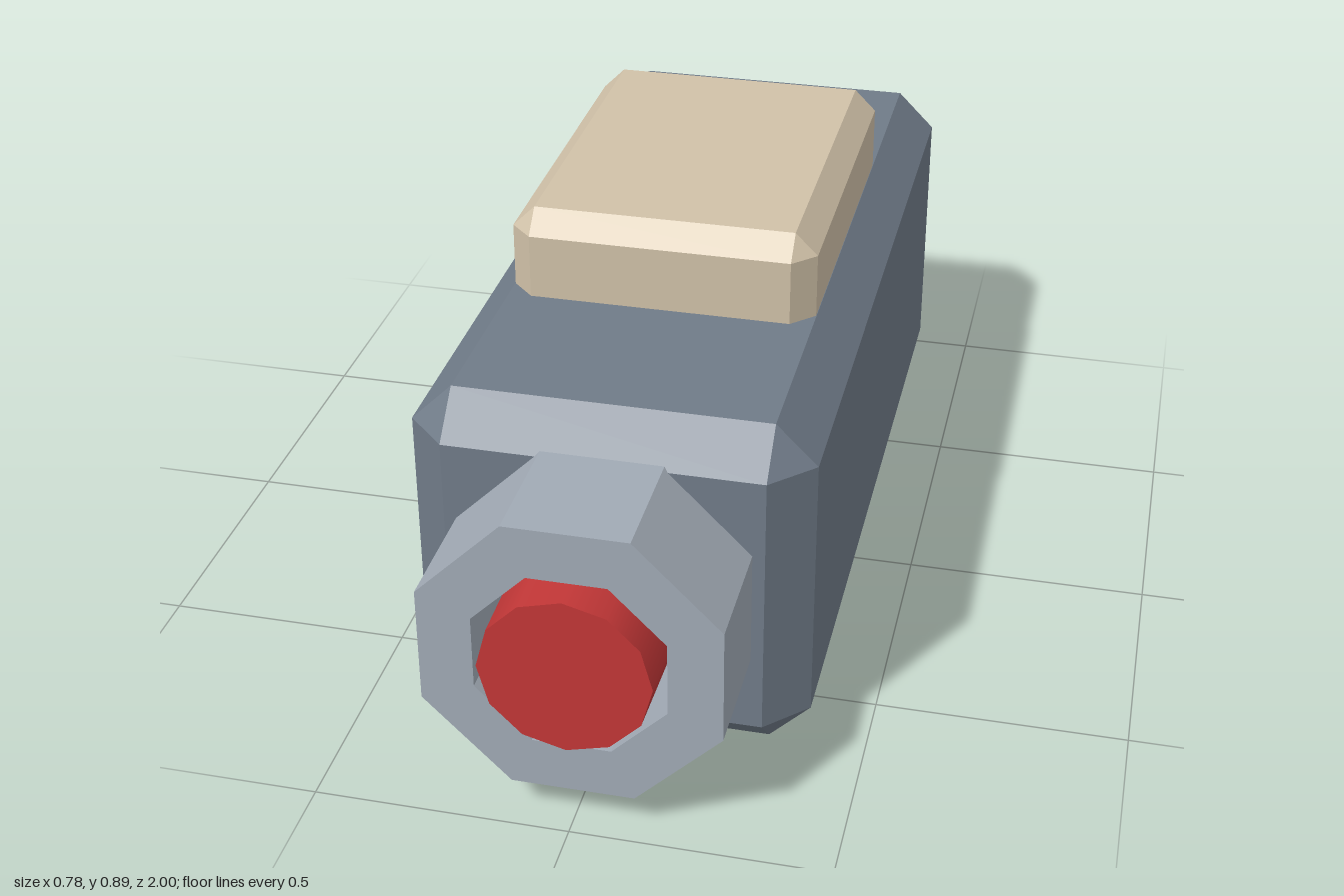
import * as THREE from 'three';
import { ConvexGeometry } from 'three/addons/geometries/ConvexGeometry.js';

const material = (name, color) => {
  const m = new THREE.MeshStandardMaterial({ color });
  m.name = name;
  return m;
};

// Box with every edge and corner cut at 45 degrees, as the hull of its 24 corners
function chamferedBox(w, h, d, c) {
  const half = [w / 2, h / 2, d / 2];
  const points = [];
  for (const sx of [-1, 1]) for (const sy of [-1, 1]) for (const sz of [-1, 1]) {
    for (let outer = 0; outer < 3; outer++) {
      const p = half.map((v, i) => (i === outer ? v : v - c));
      points.push(new THREE.Vector3(p[0] * sx, p[1] * sy, p[2] * sz));
    }
  }
  return new ConvexGeometry(points);
}

// Regular octagon with flat sides facing the axes
function octagon(apothem) {
  const r = apothem / Math.cos(Math.PI / 8);
  return Array.from({ length: 8 }, (_, i) => {
    const a = (i + 0.5) * Math.PI / 4;
    return new THREE.Vector2(r * Math.cos(a), r * Math.sin(a));
  });
}

export function createModel() {
  const model = new THREE.Group();
  const slate = material('slate', 0x707b88);
  const grey = material('light grey', 0xa1aab5);
  const tan = material('tan', 0xd0c1a8);
  const red = material('red', 0xc23737);
  const axisY = 0.358;

  const add = (name, geometry, mat, x, y, z) => {
    const mesh = new THREE.Mesh(geometry, mat);
    mesh.name = name;
    mesh.position.set(x, y, z);
    model.add(mesh);
  };

  // Main housing
  add('housing', chamferedBox(0.78, 0.716, 1.72, 0.081), slate, 0, 0.358, -0.14);

  // Pad sunk into the top of the housing
  add('topPad', chamferedBox(0.616, 0.253, 0.81, 0.045), tan, 0, 0.7665, -0.14);

  // Octagonal collar with an open octagonal bore
  const collar = new THREE.Shape(octagon(0.285));
  collar.holes.push(new THREE.Path(octagon(0.182).reverse()));
  add('collar', new THREE.ExtrudeGeometry(collar, { depth: 0.255, bevelEnabled: false }),
    grey, 0, axisY, 0.71);

  // Slightly tapered lens standing in the bore
  const lens = new THREE.CylinderGeometry(0.164, 0.169, 0.29, 12);
  lens.rotateX(Math.PI / 2);
  add('lens', lens, red, 0, axisY, 0.855);

  return model;
}
